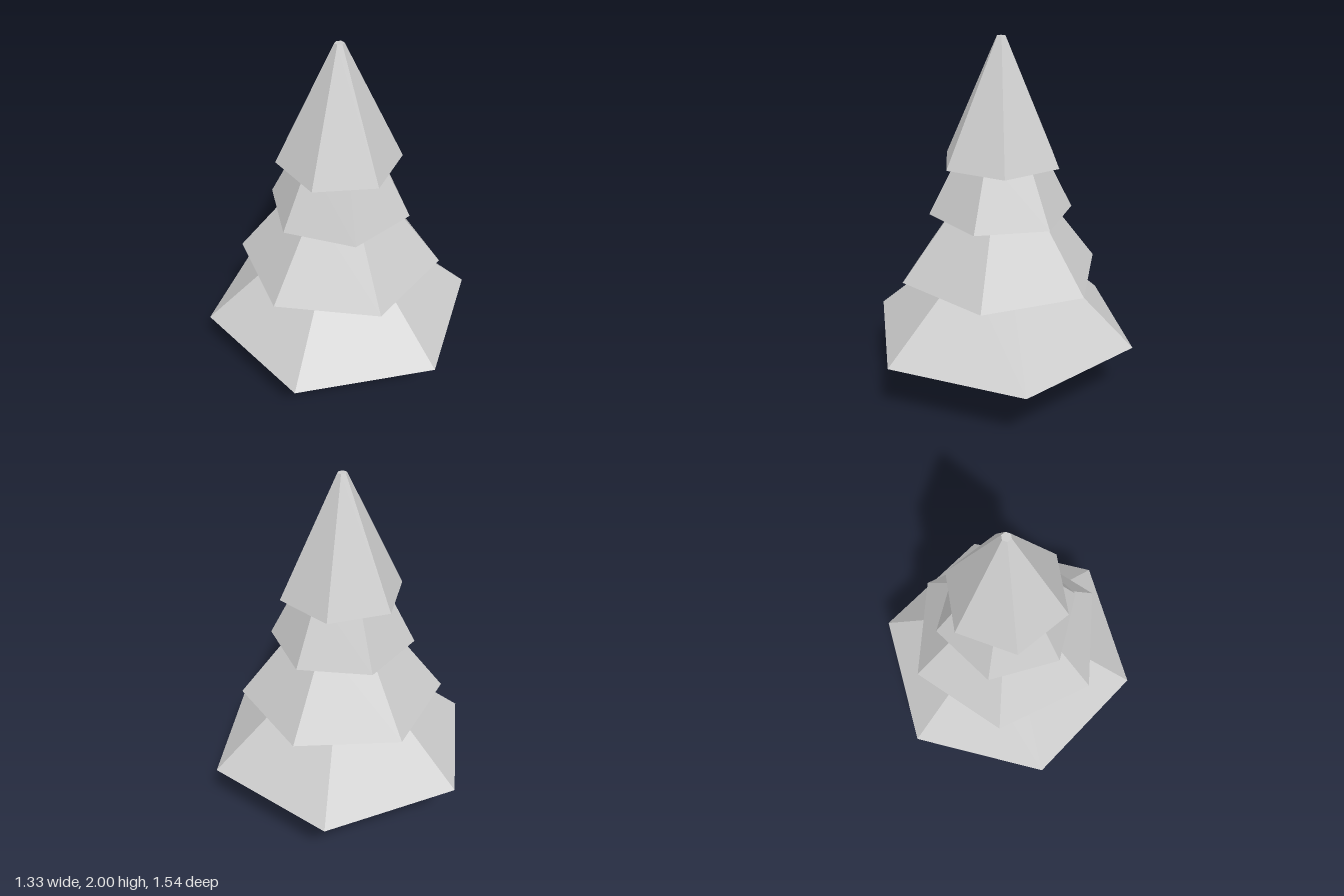
import * as THREE from 'three';

const material = new THREE.MeshStandardMaterial({ color: 0xcccccc, flatShading: true });

// Hollow six-sided skirt of branches: ceiling, inner wall, rim, outer wall, cap
function branchTier(name, y0, r0, y1, r1, turn) {
  const innerTop = y1 - 0.03;
  const profile = [
    [0, innerTop], [r1 * 0.92, innerTop], [r0 * 0.86, y0],
    [r0, y0], [r1, y1], [0, y1],
  ].map(([r, y]) => new THREE.Vector2(r, y));
  const geometry = new THREE.LatheGeometry(profile, 6, THREE.MathUtils.degToRad(turn)).toNonIndexed();
  geometry.computeVertexNormals();
  const mesh = new THREE.Mesh(geometry, material);
  mesh.name = name;
  return mesh;
}

export function createModel() {
  const tree = new THREE.Group();
  tree.name = 'pineTree';

  // Hexagonal trunk reaching up inside the lowest tier
  const trunk = new THREE.Mesh(new THREE.CylinderGeometry(0.175, 0.175, 0.53, 6), material);
  trunk.name = 'trunk';
  trunk.position.y = 0.265;
  tree.add(trunk);

  // Tiers: name, bottom y, bottom radius, top y, top radius, turn in degrees
  const tiers = [
    ['bottomBranches', 0.355, 0.768, 0.81, 0.26, 0],
    ['lowerBranches', 0.71, 0.566, 1.15, 0.232, 40.2],
    ['upperBranches', 1.06, 0.393, 1.42, 0.21, 30],
    ['topBranches', 1.345, 0.336, 2, 0.025, 53.7],
  ];
  for (const tier of tiers) tree.add(branchTier(...tier));

  return tree;
}
